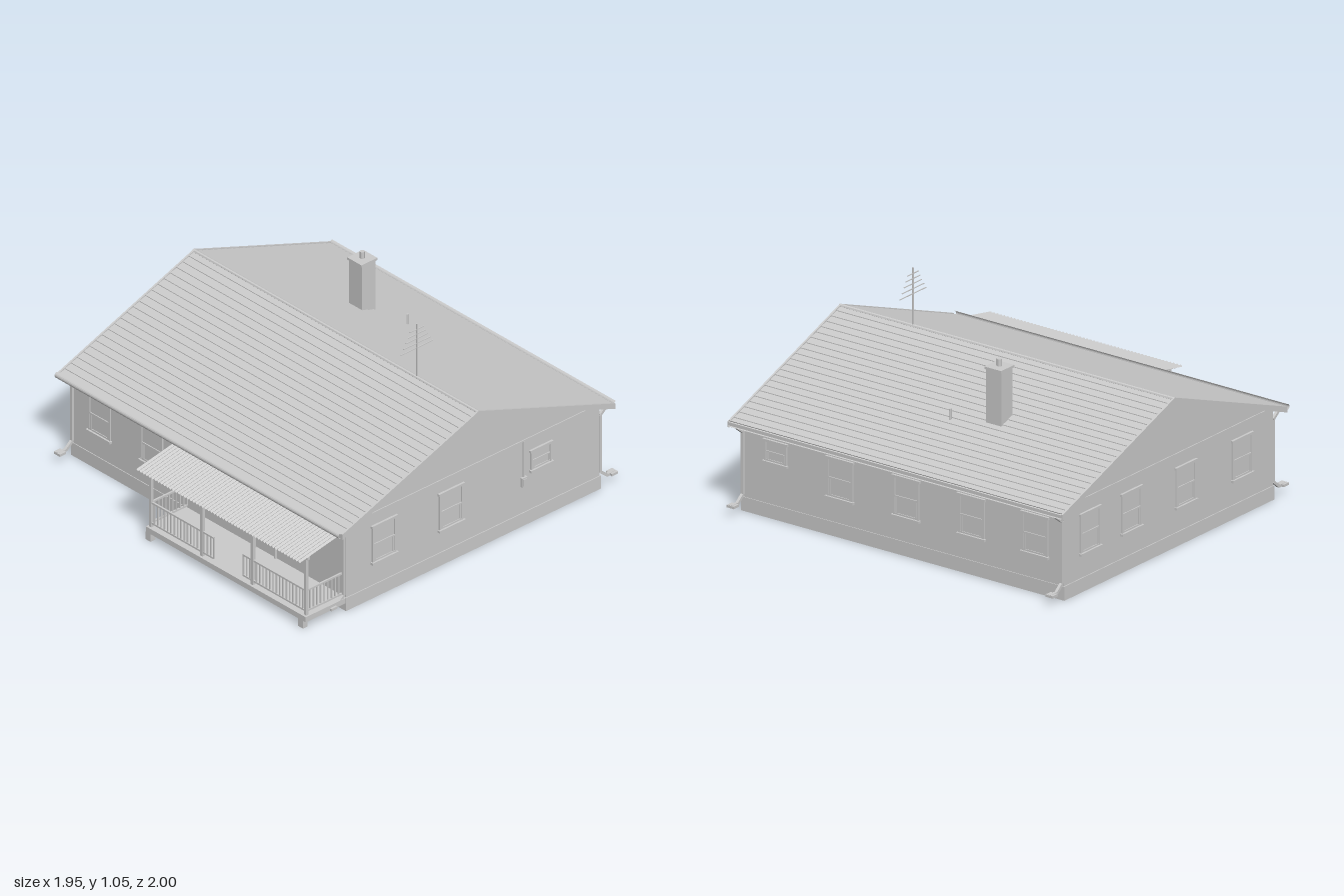
import * as THREE from 'three';

const mat = new THREE.MeshStandardMaterial({ color: 0xcccccc, flatShading: true, side: THREE.DoubleSide });
const V = (x, y, z) => new THREE.Vector3(x, y, z);

function add(parent, name, geo) {
  const m = new THREE.Mesh(geo, mat);
  m.name = name;
  parent.add(m);
  return m;
}
function group(parent, name) {
  const g = new THREE.Group();
  g.name = name;
  parent.add(g);
  return g;
}
// Box given by its limits on each axis
function box(parent, name, x0, x1, y0, y1, z0, z1) {
  const m = add(parent, name, new THREE.BoxGeometry(x1 - x0, y1 - y0, z1 - z0));
  m.position.set((x0 + x1) / 2, (y0 + y1) / 2, (z0 + z1) / 2);
  return m;
}
// Square bar between two points
function bar(parent, name, a, b, w, h = w) {
  const m = add(parent, name, new THREE.BoxGeometry(w, h, a.distanceTo(b)));
  m.position.copy(a).add(b).multiplyScalar(0.5);
  m.lookAt(b);
  return m;
}
// Extrude a (z, y) outline along x
function extrudeX(parent, name, pts, x0, x1) {
  const shape = new THREE.Shape(pts.map(p => new THREE.Vector2(p[0], p[1])));
  const geo = new THREE.ExtrudeGeometry(shape, { depth: x1 - x0, bevelEnabled: false });
  geo.rotateY(-Math.PI / 2).translate(x1, 0, 0);
  return add(parent, name, geo);
}

const RIDGE_Z = -0.1, RIDGE_Y = 0.765, SLOPE = 0.367, RUN = 0.858;
const WALL_X = 0.935, FRONT = 0.7, BACK = -0.895;
const roofY = z => RIDGE_Y - SLOPE * Math.abs(z - RIDGE_Z);

// Sash window facing +z, centred on x, standing on y = 0
function sashWindow(parent, w, h) {
  const g = group(parent, 'window');
  const t = 0.01, x = w / 2;
  box(g, 'pane', -x, x, 0, h, -0.002, 0.002);
  for (const s of [-1, 1]) {
    box(g, 'casing', s * x - t / 2, s * x + t / 2, 0, h, 0, 0.008);
    box(g, 'sashStile', s * (x - 0.012) - 0.004, s * (x - 0.012) + 0.004, 0, h * 0.48, 0, 0.006);
  }
  box(g, 'headTrim', -x - 0.012, x + 0.012, h - 0.006, h + 0.006, 0, 0.012);
  box(g, 'meetingRail', -x, x, h * 0.47, h * 0.51, 0, 0.007);
  box(g, 'bottomRail', -x, x, 0.002, 0.012, 0, 0.006);
  box(g, 'sill', -x - 0.012, x + 0.012, -0.008, 0.004, 0, 0.016);
  return g;
}

function buildWalls(house) {
  extrudeX(house, 'walls', [[FRONT, 0], [FRONT, roofY(FRONT) - 0.02], [RIDGE_Z, RIDGE_Y - 0.02],
    [BACK, roofY(BACK) - 0.02], [BACK, 0]], -WALL_X, WALL_X);
  box(house, 'plinth', -0.94, 0.94, 0, 0.07, BACK - 0.004, FRONT + 0.004);
  for (const s of [-1, 1]) {
    box(house, 'gableTrim', s * WALL_X - 0.005, s * WALL_X + 0.005, 0.453, 0.463, BACK + 0.02, FRONT - 0.02);
  }
}

function buildWindows(house) {
  const all = group(house, 'windows');
  const place = (x, y, z, turn, w, h) => {
    const g = sashWindow(all, w, h);
    g.position.set(x, y, z);
    g.rotation.y = turn;
  };
  for (const x of [-0.745, -0.387]) place(x, 0.192, FRONT, 0, 0.14, 0.195);
  place(0.05, 0.185, FRONT, 0, 0.22, 0.2);
  for (const x of [0.365, -0.02, -0.4, -0.77]) place(x, 0.192, BACK, Math.PI, 0.14, 0.195);
  place(0.74, 0.28, BACK, Math.PI, 0.12, 0.105);
  for (const z of [0.463, 0.042]) place(WALL_X, 0.192, z, Math.PI / 2, 0.14, 0.195);
  place(WALL_X, 0.28, -0.523, Math.PI / 2, 0.12, 0.105);
  for (const z of [-0.7, -0.385, 0.03, 0.46]) place(-WALL_X, 0.192, z, -Math.PI / 2, 0.14, 0.195);
}

function buildRoof(house) {
  const roof = group(house, 'roof');
  const rows = 22, step = 0.004;
  for (const s of [-1, 1]) {
    // Overlapping tile courses from ridge to eave
    const pts = [];
    for (let i = 0; i < rows; i++) {
      const a = RIDGE_Z + s * RUN * i / rows, b = RIDGE_Z + s * RUN * (i + 1) / rows;
      pts.push([a, roofY(a) - step], [b, roofY(b)]);
    }
    const end = RIDGE_Z + s * RUN;
    pts.push([end, roofY(end) - 0.022], [RIDGE_Z, RIDGE_Y - 0.025]);
    extrudeX(roof, 'tiledSlope', pts, -0.97, 0.97);
    for (const x of [-0.97, 0.97]) {
      extrudeX(roof, 'bargeBoard', [[RIDGE_Z, RIDGE_Y + 0.003], [end, roofY(end) + 0.003],
        [end, roofY(end) - 0.026], [RIDGE_Z, RIDGE_Y - 0.027]], x - 0.005, x + 0.005);
    }
    // Half-round gutter under the eave
    const gutter = add(roof, 'gutter', new THREE.CylinderGeometry(0.015, 0.015, 1.94, 8, 1, true, Math.PI, Math.PI));
    gutter.geometry.rotateY(-Math.PI / 2).rotateZ(Math.PI / 2);
    // Turn the open side upward
    const p = gutter.geometry.attributes.position;
    let low = 0;
    for (let i = 0; i < p.count; i++) low += p.getY(i);
    if (low > 0) gutter.rotation.x = Math.PI;
    else if (Math.abs(low) < 0.01) gutter.rotation.x = Math.PI / 2;
    gutter.position.set(0, 0.447, end + s * 0.007);
    box(roof, 'fascia', -0.965, 0.965, 0.428, 0.447, end - s * 0.012 - 0.004, end - s * 0.012 + 0.004);
  }
  const ridge = add(roof, 'ridgeCap', new THREE.CylinderGeometry(0.01, 0.01, 1.95, 8));
  ridge.rotation.z = Math.PI / 2;
  ridge.position.set(0, RIDGE_Y - 0.006, RIDGE_Z);

  // Downpipes at the four corners
  for (const s of [-1, 1]) for (const x of [-0.928, 0.928]) {
    const pipe = group(house, 'downpipe');
    const wall = s > 0 ? FRONT : BACK;
    const path = [[0.06, 0.435], [0.008, 0.395], [0.008, 0.085], [0.05, 0.05], [0.1, 0.05]]
      .map(([d, y]) => V(x, y, wall + s * d));
    for (let i = 0; i < 4; i++) bar(pipe, 'pipeSection', path[i], path[i + 1], 0.014);
    bar(pipe, 'spout', V(x, 0.05, wall + s * 0.065), V(x, 0.05, wall + s * 0.104), 0.042, 0.012);
  }
}

function buildRoofFittings(house) {
  const chimney = group(house, 'chimney');
  box(chimney, 'stack', -0.3, -0.212, 0.55, 0.87, -0.54, -0.455);
  box(chimney, 'cap', -0.305, -0.207, 0.868, 0.88, -0.548, -0.448);
  const pot = add(chimney, 'pot', new THREE.CylinderGeometry(0.012, 0.012, 0.04, 12));
  pot.position.set(-0.256, 0.895, -0.498);
  const vent = add(house, 'ventPipe', new THREE.CylinderGeometry(0.006, 0.006, 0.08, 8));
  vent.position.set(-0.035, 0.6, -0.58);

  const aerial = group(house, 'aerial');
  bar(aerial, 'mast', V(0.55, 0.75, RIDGE_Z), V(0.55, 1.05, RIDGE_Z), 0.006);
  [0.043, 0.055, 0.068, 0.084, 0.1].forEach((r, i) => {
    const y = 1.02 - i * 0.025;
    bar(aerial, 'crossRod', V(0.55, y, RIDGE_Z - r), V(0.55, y, RIDGE_Z + r), 0.004);
  });
}

function buildPorch(house) {
  const porch = group(house, 'porch');
  const z = 0.935, xs = [-0.14, 0.21, 0.555, 0.92];
  box(porch, 'deck', -0.155, 0.938, 0.042, 0.07, FRONT, 0.955);
  for (const x of [-0.14, 0.902]) box(porch, 'footing', x - 0.017, x + 0.017, 0, 0.042, 0.925, 0.955);
  for (const x of xs) box(porch, 'post', x - 0.008, x + 0.008, 0.07, 0.38, z - 0.008, z + 0.008);
  box(porch, 'frontBeam', -0.16, 0.938, 0.373, 0.388, z - 0.008, z + 0.008);

  // Railings with balusters, leaving the entry open
  const railing = (a, b) => {
    const g = group(porch, 'railing');
    for (const y of [0.09, 0.2]) {
      bar(g, 'rail', V(a.x, y, a.z), V(b.x, y, b.z), 0.009);
    }
    const n = Math.round(a.distanceTo(b) / 0.023);
    for (let i = 0; i <= n; i++) {
      const p = a.clone().lerp(b, i / n);
      box(g, 'baluster', p.x - 0.003, p.x + 0.003, 0.09, 0.2, p.z - 0.003, p.z + 0.003);
    }
  };
  railing(V(xs[0], 0, z), V(0.29, 0, z));
  railing(V(0.49, 0, z), V(xs[3], 0, z));
  for (const x of [xs[0], xs[3]]) railing(V(x, 0, FRONT + 0.01), V(x, 0, z));

  // Corrugated sheet roof on rafters
  const ribs = 56, width = 1.125;
  const sheet = new THREE.PlaneGeometry(width, 0.3, ribs * 2, 1).rotateX(-Math.PI / 2);
  const p = sheet.attributes.position;
  for (let i = 0; i < p.count; i++) {
    const column = i % (ribs * 2 + 1);
    p.setY(i, 0.418 - p.getZ(i) * 0.19 + (column % 2 ? 0.004 : -0.004));
  }
  sheet.computeVertexNormals();
  add(porch, 'corrugatedRoof', sheet).position.set(0.3825, 0, 0.85);
  for (let i = 0; i < 11; i++) {
    const x = -0.15 + i * 0.107;
    bar(porch, 'rafter', V(x, 0.435, FRONT), V(x, 0.384, 0.98), 0.01, 0.012);
  }
}

function buildDoorAndMeter(house) {
  const door = group(house, 'door');
  box(door, 'leaf', 0.325, 0.455, 0.075, 0.355, FRONT, FRONT + 0.005);
  for (const x of [0.322, 0.458]) box(door, 'jamb', x - 0.005, x + 0.005, 0.07, 0.36, FRONT, FRONT + 0.01);
  box(door, 'head', 0.317, 0.463, 0.353, 0.363, FRONT, FRONT + 0.01);
  box(door, 'handle', 0.382, 0.398, 0.228, 0.234, FRONT, FRONT + 0.014);

  const meter = group(house, 'meterBox');
  box(meter, 'case', WALL_X, WALL_X + 0.014, 0.216, 0.265, -0.43, -0.396);
  box(meter, 'cover', WALL_X, WALL_X + 0.018, 0.223, 0.258, -0.424, -0.402);
  bar(meter, 'conduit', V(WALL_X + 0.004, 0.26, -0.413), V(WALL_X + 0.004, 0.455, -0.413), 0.006);
}

export function createModel() {
  const house = new THREE.Group();
  house.name = 'house';
  buildWalls(house);
  buildWindows(house);
  buildRoof(house);
  buildRoofFittings(house);
  buildPorch(house);
  buildDoorAndMeter(house);
  return house;
}
